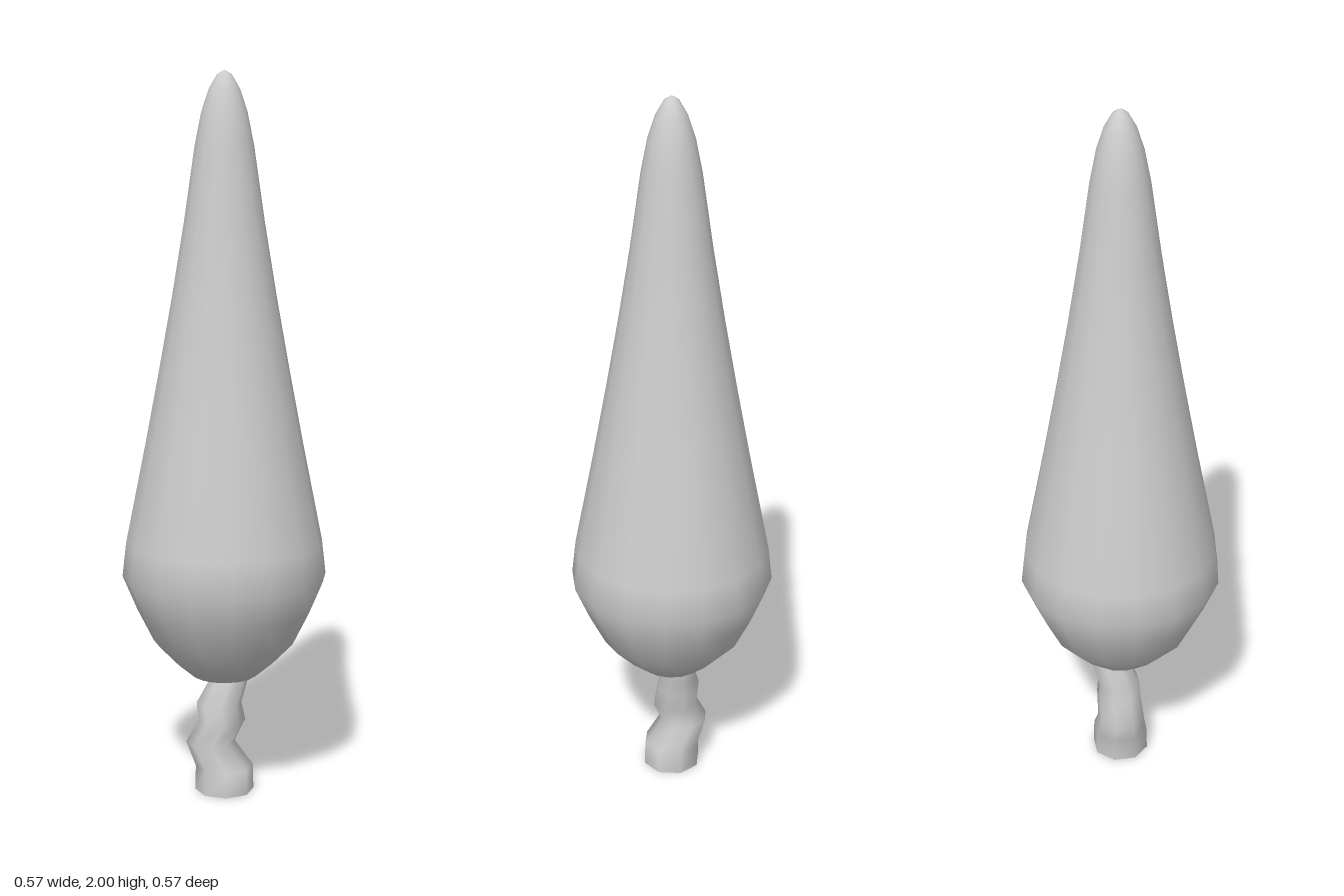
import * as THREE from 'three';

const material = new THREE.MeshStandardMaterial({ color: 0xcccccc });

// Tall teardrop crown: a smooth 16-sided lathe
function makeFoliage() {
  const profile = [
    [0, 0.322], [0.09, 0.338], [0.14, 0.38], [0.198, 0.44], [0.243, 0.53], [0.283, 0.625],
    [0.272, 0.72], [0.216, 1.0], [0.178, 1.2], [0.142, 1.4], [0.109, 1.6], [0.08, 1.8],
    [0.062, 1.89], [0.042, 1.95], [0.02, 1.988], [0, 2],
  ].map(([r, y]) => new THREE.Vector2(r, y));
  const mesh = new THREE.Mesh(new THREE.LatheGeometry(profile, 16), material);
  mesh.name = 'foliage';
  return mesh;
}

// Crooked trunk: a cylinder whose rings are shifted and resized
function makeTrunk() {
  // y, centre x, centre z, radius x, radius z (top to bottom)
  const rings = [
    [0.38, 0.04, -0.01, 0.045, 0.05],
    [0.31, 0.028, -0.01, 0.058, 0.053],
    [0.25, 0.0, -0.02, 0.062, 0.064],
    [0.2, 0.002, -0.011, 0.066, 0.066],
    [0.135, -0.012, -0.042, 0.07, 0.068],
    [0.07, 0, 0, 0.08, 0.082],
    [0, 0, 0, 0.082, 0.083],
  ];
  const geometry = new THREE.CylinderGeometry(1, 1, 1, 8, rings.length - 1);
  const pos = geometry.attributes.position;
  for (let i = 0; i < pos.count; i++) {
    const row = Math.round((0.5 - pos.getY(i)) * (rings.length - 1));
    const [y, cx, cz, rx, rz] = rings[row];
    pos.setXYZ(i, cx + rx * pos.getX(i), y, cz + rz * pos.getZ(i));
  }
  geometry.computeVertexNormals();
  // Match the normals along the seam
  const normal = geometry.attributes.normal;
  const sum = new THREE.Vector3();
  for (let row = 0; row < rings.length; row++) {
    const a = row * 9, b = a + 8;
    sum.fromBufferAttribute(normal, a)
      .add(new THREE.Vector3().fromBufferAttribute(normal, b)).normalize();
    normal.setXYZ(a, sum.x, sum.y, sum.z);
    normal.setXYZ(b, sum.x, sum.y, sum.z);
  }
  const mesh = new THREE.Mesh(geometry, material);
  mesh.name = 'trunk';
  return mesh;
}

export function createModel() {
  const tree = new THREE.Group();
  tree.name = 'tree';
  tree.add(makeFoliage(), makeTrunk());
  return tree;
}
